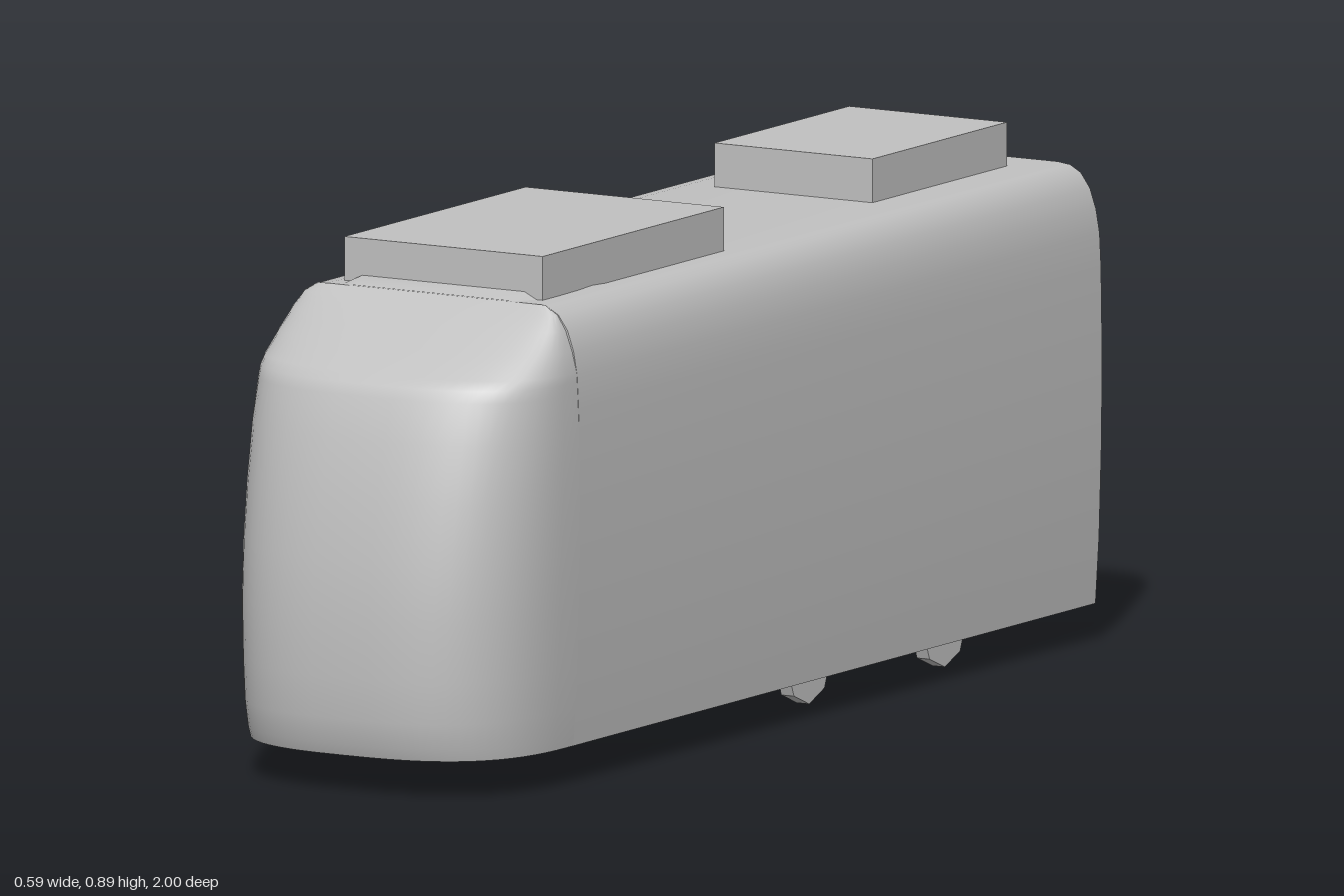
import * as THREE from 'three';
import { toCreasedNormals } from 'three/addons/utils/BufferGeometryUtils.js';

const paint = new THREE.MeshStandardMaterial({ color: 0xc0c0c0 });
paint.name = 'light grey';

const BASE = 0.065, ROOF = 0.815, JOINT = 0.7;

function add(group, name, geometry, x = 0, y = 0, z = 0) {
  const mesh = new THREE.Mesh(geometry, paint);
  mesh.name = name;
  mesh.position.set(x, y, z);
  group.add(mesh);
  return mesh;
}

// Skin a list of rows, each an equal-length list of [x, y, z]
function loft(rows, crease) {
  const pos = [];
  for (let j = 0; j < rows.length - 1; j++) {
    for (let i = 0; i < rows[j].length - 1; i++) {
      const a = rows[j][i], b = rows[j][i + 1], c = rows[j + 1][i], d = rows[j + 1][i + 1];
      pos.push(...a, ...c, ...b, ...b, ...c, ...d);
    }
  }
  const g = new THREE.BufferGeometry();
  g.setAttribute('position', new THREE.Float32BufferAttribute(pos, 3));
  return toCreasedNormals(g, crease);
}

// Slightly bulging sides with rounded roof corners
function bodyGeometry() {
  const half = [[0.28, BASE], [0.287, 0.18], [0.292, 0.35], [0.293, 0.5], [0.291, 0.64],
    [0.288, 0.7], [0.281, 0.74], [0.269, 0.775], [0.251, 0.8], [0.23, 0.812], [0.205, ROOF]];
  const mirrored = half.map(([x, y]) => [-x, y]).reverse();
  const shape = new THREE.Shape([...half, ...mirrored].map(([x, y]) => new THREE.Vector2(x, y)));
  const g = new THREE.ExtrudeGeometry(shape, { depth: JOINT + 0.995, bevelEnabled: false });
  g.translate(0, 0, -0.995);
  return toCreasedNormals(g, 0.6);
}

// Rounded nose: each level gives height, half width and foremost z
function noseGeometry() {
  const levels = [[BASE, 0, JOINT], [BASE, 0.28, 0.982], [0.085, 0.282, 0.99], [0.13, 0.285, 0.998],
    [0.2, 0.288, 1], [0.3, 0.291, 0.999], [0.4, 0.293, 0.988], [0.5, 0.293, 0.97],
    [0.6, 0.292, 0.945], [0.67, 0.289, 0.92], [0.69, 0.288, 0.91], [0.705, 0.287, 0.888],
    [0.74, 0.278, 0.828], [0.775, 0.265, 0.768], [0.8, 0.249, 0.726], [ROOF, 0.225, JOINT]];
  const n = 32, power = 2 / 2.8;
  const rows = levels.map(([y, w, front]) => Array.from({ length: n + 1 }, (_, i) => {
    const t = Math.PI * i / n, c = Math.cos(t);
    const s = Math.max(0, Math.sin(t));
    return [w * Math.sign(c) * Math.abs(c) ** power, y, JOINT + (front - JOINT) * s ** power];
  }));
  return loft(rows, 0.85);
}

// Low fairing under the front roof box: z, half width, height
function fairingGeometry() {
  const sections = [[0.43, 0.19, 0.816], [0.45, 0.212, 0.832], [0.5, 0.217, 0.832],
    [0.6, 0.215, 0.829], [0.66, 0.205, 0.827], [JOINT, 0.2, 0.816]];
  const rows = sections.map(([z, w, y]) => [[-w, 0.805, z], [-w + 0.045, y, z],
    [w - 0.045, y, z], [w, 0.805, z]]);
  return loft(rows.reverse().map((r) => r.reverse()).map((r) => r.reverse()).reverse(), 0.5);
}

// Thin plate just outside the back wall, inset to form a soft end edge
function endWallGeometry() {
  const shape = new THREE.Shape();
  shape.moveTo(-0.275, 0.07);
  shape.lineTo(0.275, 0.07);
  shape.lineTo(0.286, 0.4);
  shape.lineTo(0.282, 0.7);
  shape.quadraticCurveTo(0.275, 0.805, 0.2, 0.809);
  shape.lineTo(-0.2, 0.809);
  shape.quadraticCurveTo(-0.275, 0.805, -0.282, 0.7);
  shape.lineTo(-0.286, 0.4);
  return new THREE.ExtrudeGeometry(shape, { depth: 0.005, bevelEnabled: false });
}

export function createModel() {
  const model = new THREE.Group();
  model.name = 'railCar';

  add(model, 'body', bodyGeometry());
  add(model, 'endWall', endWallGeometry(), 0, 0, -1);
  add(model, 'nose', noseGeometry());
  add(model, 'roofFairing', fairingGeometry());

  // Roof equipment
  add(model, 'frontRoofBox', new THREE.BoxGeometry(0.392, 0.08, 0.588), 0, 0.85, 0.367);
  add(model, 'rearRoofBox', new THREE.BoxGeometry(0.312, 0.08, 0.437), 0, 0.85, -0.693);

  // Eight-sided wheels, mostly hidden in the floor
  const wheel = new THREE.CylinderGeometry(0.07, 0.07, 0.025, 8).toNonIndexed();
  wheel.rotateZ(Math.PI / 2);
  wheel.computeVertexNormals();
  for (const z of [-0.2, -0.64]) {
    for (const side of [-1, 1]) {
      add(model, side > 0 ? 'leftWheel' : 'rightWheel', wheel, side * 0.186, 0.07, z);
    }
  }
  return model;
}
